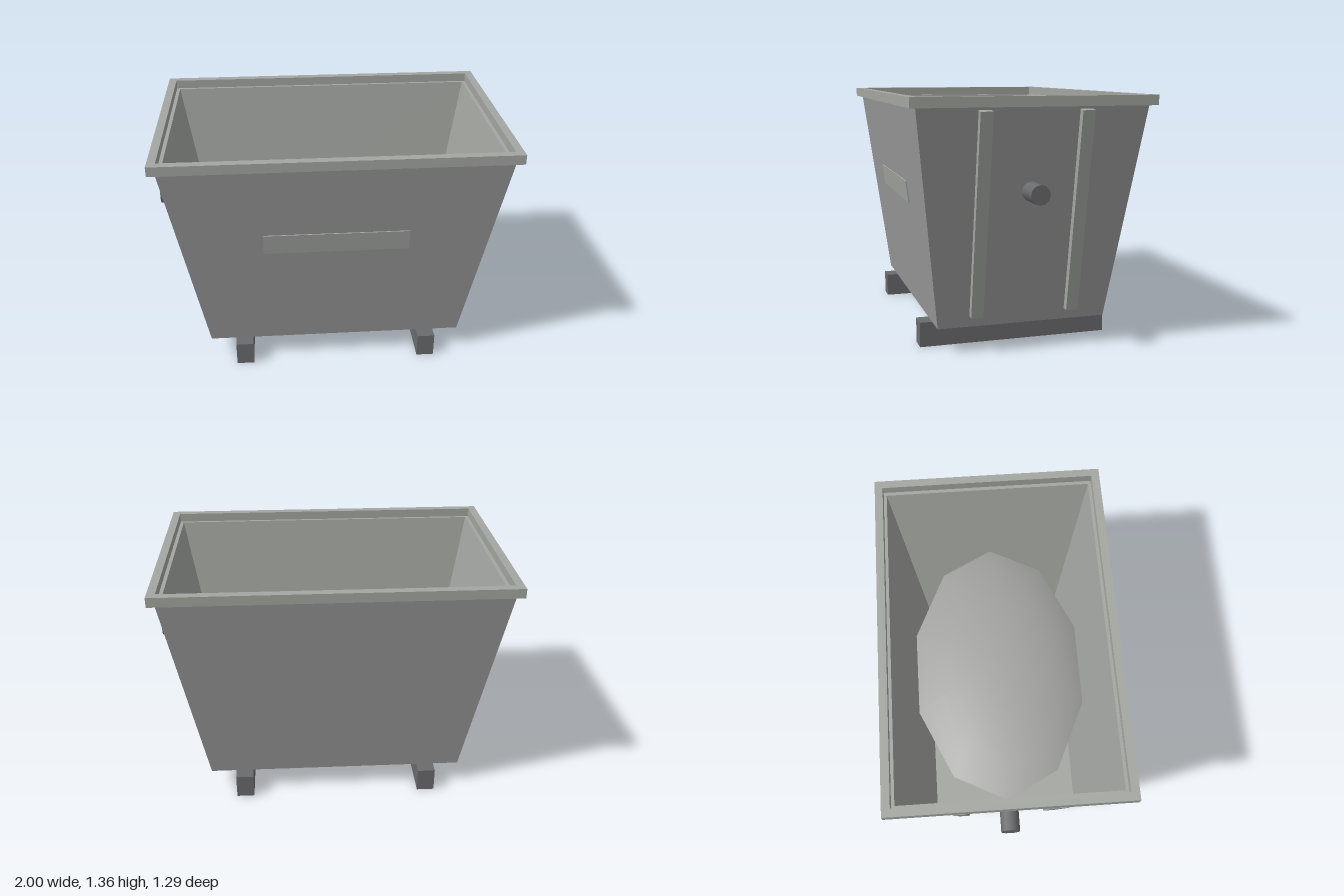
import * as THREE from 'three';

const bodyGrey = new THREE.MeshStandardMaterial({ color: 0x9a9a9a });
const paleSteel = new THREE.MeshStandardMaterial({ color: 0xa3a6a1 });
const darkSteel = new THREE.MeshStandardMaterial({ color: 0x6a6b6d });
const heapGrey = new THREE.MeshStandardMaterial({ color: 0xa4a4a2, side: THREE.DoubleSide });

const CORNERS = [[1, 1], [1, -1], [-1, -1], [-1, 1]];

// Skins a chain of rectangular rings [halfX, y, halfZ], with optional flat ends
function rectLoft(rings, { bottom = false, floor = false } = {}) {
  const pos = [];
  const pt = ([x, y, z], i) => [CORNERS[i % 4][0] * x, y, CORNERS[i % 4][1] * z];
  const quad = (a, b, c, d) => pos.push(...a, ...b, ...c, ...a, ...c, ...d);
  for (let r = 0; r < rings.length - 1; r++) {
    const lo = rings[r], hi = rings[r + 1];
    for (let i = 0; i < 4; i++) quad(pt(lo, i), pt(lo, i + 1), pt(hi, i + 1), pt(hi, i));
  }
  const first = rings[0], last = rings[rings.length - 1];
  if (bottom) quad(pt(first, 3), pt(first, 2), pt(first, 1), pt(first, 0));
  if (floor) quad(pt(last, 0), pt(last, 1), pt(last, 2), pt(last, 3));
  const geo = new THREE.BufferGeometry();
  geo.setAttribute('position', new THREE.Float32BufferAttribute(pos, 3));
  geo.computeVertexNormals();
  return geo;
}

export function createModel() {
  const model = new THREE.Group();
  model.name = 'wasteSkip';
  const add = (name, geo, mat, x = 0, y = 0, z = 0) => {
    const mesh = new THREE.Mesh(geo, mat);
    mesh.name = name;
    mesh.position.set(x, y, z);
    model.add(mesh);
    return mesh;
  };

  // Tapered hopper: outer walls, then the ledge, inner walls and floor
  add('hopperOuter', rectLoft([[0.73, 0.14, 0.467], [0.93, 1.305, 0.61]], { bottom: true }), bodyGrey);
  add('hopperInner', rectLoft([[0.93, 1.305, 0.61], [0.9, 1.305, 0.583], [0.703, 0.17, 0.437]], { floor: true }), paleSteel);

  // Square frame around the opening
  add('rim', rectLoft([
    [0.92, 1.302, 0.6], [0.965, 1.302, 0.645], [0.965, 1.355, 0.645], [0.92, 1.355, 0.6], [0.92, 1.302, 0.6],
  ]), paleSteel);

  // Low heap of contents inside
  const heap = new THREE.SphereGeometry(1, 10, 6, 0, Math.PI * 2, 0, Math.PI / 4);
  heap.translate(0, -Math.SQRT1_2, 0);
  heap.scale(0.8 * Math.SQRT2, 0.48, 0.51 * Math.SQRT2);
  add('contentsHeap', heap, heapGrey, 0, 0.75, 0);

  // Thin plate lying on the sloping front wall
  const plate = add('frontPlate', new THREE.BoxGeometry(0.8, 0.12, 0.009), paleSteel, 0, 0.825, 0.5525);
  plate.rotation.x = Math.atan2(0.143, 1.165);

  const lean = Math.atan2(0.2, 1.165);
  for (const side of [1, -1]) {
    // Wall ribs following the slope of each end
    for (const z of [0.265, -0.265]) {
      const rib = add('sideRib', new THREE.BoxGeometry(0.04, 1.1, 0.066), paleSteel, side * 0.851, 0.743, z);
      rib.rotation.z = -side * lean;
    }
    // Lifting pin
    const pin = new THREE.CylinderGeometry(0.052, 0.052, 0.16, 12);
    pin.rotateZ(Math.PI / 2);
    add('liftingPin', pin, darkSteel, side * 0.92, 0.87, 0);
    // Ground skid
    add('skid', new THREE.BoxGeometry(0.1, 0.137, 1.065), darkSteel, side * 0.535, 0.0685, 0);
  }
  return model;
}
